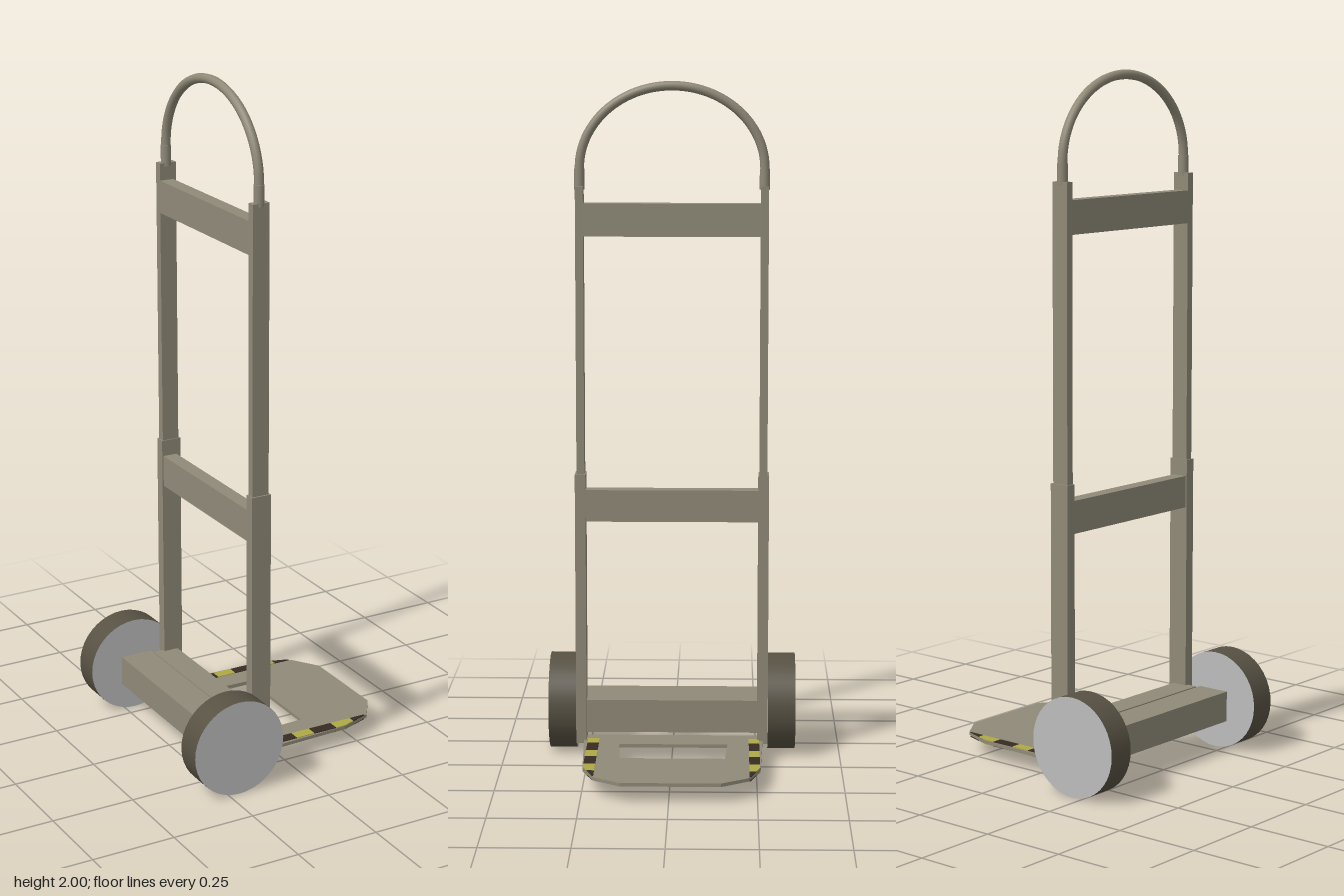
import * as THREE from 'three';

const mat = (name, color) => {
  const m = new THREE.MeshStandardMaterial({ color });
  m.name = name;
  return m;
};

export function createModel() {
  const root = new THREE.Group();
  root.name = 'handTruck';
  const steel = mat('frameSteel', 0x8f8977);
  const rubber = mat('tyreRubber', 0x575143);
  const cap = mat('wheelCapGrey', 0xbcbcbc);
  const yellow = mat('warningYellow', 0xaea846);
  const black = mat('warningBlack', 0x372b22);

  const add = (name, geo, material) => {
    const m = new THREE.Mesh(geo, material);
    m.name = name;
    root.add(m);
    return m;
  };
  // box given by its lower and upper limits
  const box = (name, [x0, x1], [y0, y1], [z0, z1]) => {
    const m = add(name, new THREE.BoxGeometry(x1 - x0, y1 - y0, z1 - z0), steel);
    m.position.set((x0 + x1) / 2, (y0 + y1) / 2, (z0 + z1) / 2);
  };
  const toPath = (pts) => pts.map(([x, z]) => new THREE.Vector2(x, z));
  // horizontal slab from an x/z outline, hanging down from its top height
  const slab = (name, pts, top, depth, material, hole) => {
    const shape = new THREE.Shape(toPath(pts));
    if (hole) shape.holes.push(new THREE.Path(toPath(hole)));
    const geo = new THREE.ExtrudeGeometry(shape, { depth, bevelEnabled: false });
    geo.rotateX(Math.PI / 2);
    add(name, geo, material).position.y = top;
  };

  // uprights, their lower sleeves, handle sockets and wheels
  for (const s of [1, -1]) {
    const side = s > 0 ? 'left' : 'right';
    const span = (a, b) => (s > 0 ? [a, b] : [-b, -a]);
    box(side + 'Upright', [-0.126, -0.074], [0.06, 1.7], span(0.256, 0.279));
    box(side + 'LowerSleeve', [-0.13, -0.069], [0.05, 0.86], span(0.253, 0.284));

    const socket = add(side + 'HandleSocket', new THREE.CylinderGeometry(0.015, 0.015, 0.06, 16), steel);
    socket.position.set(-0.1, 1.72, s * 0.267);

    const wheel = add(side + 'Wheel', new THREE.CylinderGeometry(0.1435, 0.1435, 0.082, 40), [rubber, cap, cap]);
    wheel.rotation.x = Math.PI / 2;
    wheel.position.set(-0.217, 0.1445, s * 0.326);
  }

  // curved top handle
  const arch = [new THREE.Vector3(-0.1, 1.69, 0.267)];
  for (let i = 0; i <= 20; i++) {
    const a = (i / 20) * Math.PI;
    arch.push(new THREE.Vector3(-0.1, 1.75 + 0.236 * Math.sin(a), 0.267 * Math.cos(a)));
  }
  arch.push(new THREE.Vector3(-0.1, 1.69, -0.267));
  add('handle', new THREE.TubeGeometry(new THREE.CatmullRomCurve3(arch), 60, 0.0135, 12), steel);

  // cross bars and axle beam
  box('topCrossBar', [-0.126, -0.083], [1.555, 1.65], [-0.258, 0.258]);
  box('middleCrossBar', [-0.126, -0.083], [0.718, 0.812], [-0.258, 0.258]);
  box('bottomCrossBar', [-0.161, -0.085], [0.08, 0.178], [-0.264, 0.264]);
  box('axleBeam', [-0.26, -0.161], [0.085, 0.175], [-0.286, 0.286]);

  // toe plate with a window
  slab('toePlate', [
    [-0.125, -0.271], [0.21, -0.26], [0.305, -0.225], [0.358, -0.147],
    [0.358, 0.138], [0.305, 0.215], [0.21, 0.25], [-0.125, 0.263],
  ], 0.06, 0.01, steel, [[-0.027, -0.165], [-0.027, 0.153], [0.117, 0.148], [0.117, -0.158]]);

  // warning stripes on the side edges, above and below the plate
  const breaks = [-0.08, -0.032, 0.043, 0.103, 0.178, 0.21, 0.245, 0.295];
  const colours = [yellow, black, yellow, black, yellow, yellow, black];
  for (const [s, inner, outer] of [[-1, 0.228, 0.259], [1, 0.215, 0.249]]) {
    const edge = (x) => outer - Math.max(0, x - 0.21) * ((outer - inner) / 0.095);
    for (let i = 0; i < colours.length; i++) {
      const a = breaks[i], b = breaks[i + 1];
      const quad = [[a, s * inner], [b, s * inner], [b, s * edge(b)], [a, s * edge(a)]];
      for (const top of [0.062, 0.05]) slab('warningStripe', quad, top, 0.002, colours[i]);
    }
  }
  return root;
}
